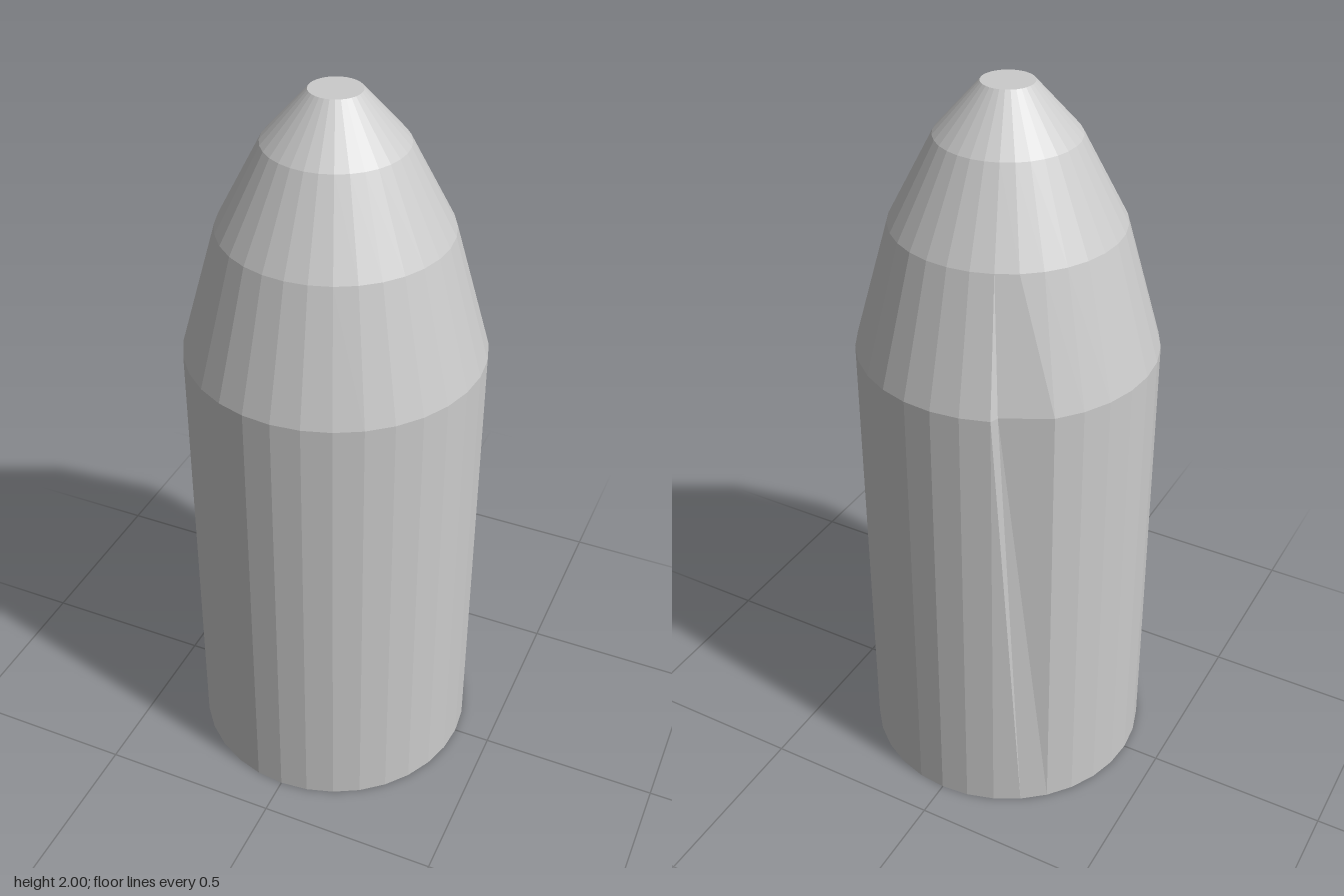
import * as THREE from 'three';

export function createModel() {
  const group = new THREE.Group();
  const material = new THREE.MeshStandardMaterial({ color: 0xcccccc, flatShading: true });

  // Straight cylindrical body, three-step tapering nose and flat tip
  const profile = [
    [0, 0], [0.397, 0], [0.397, 1.3], [0.3, 1.645], [0.183, 1.87], [0.067, 2], [0, 2],
  ].map(([r, y]) => new THREE.Vector2(r, y));
  const geometry = new THREE.LatheGeometry(profile, 32);

  // Small dent: one shoulder corner at the back is pushed sideways and inward
  const dentSegment = 19, shoulder = 2;
  geometry.attributes.position.setXYZ(dentSegment * profile.length + shoulder, -0.16, 1.3, -0.345);
  geometry.computeVertexNormals();

  const body = new THREE.Mesh(geometry, material);
  body.name = 'bodyWithTaperedNose';
  group.add(body);
  return group;
}
